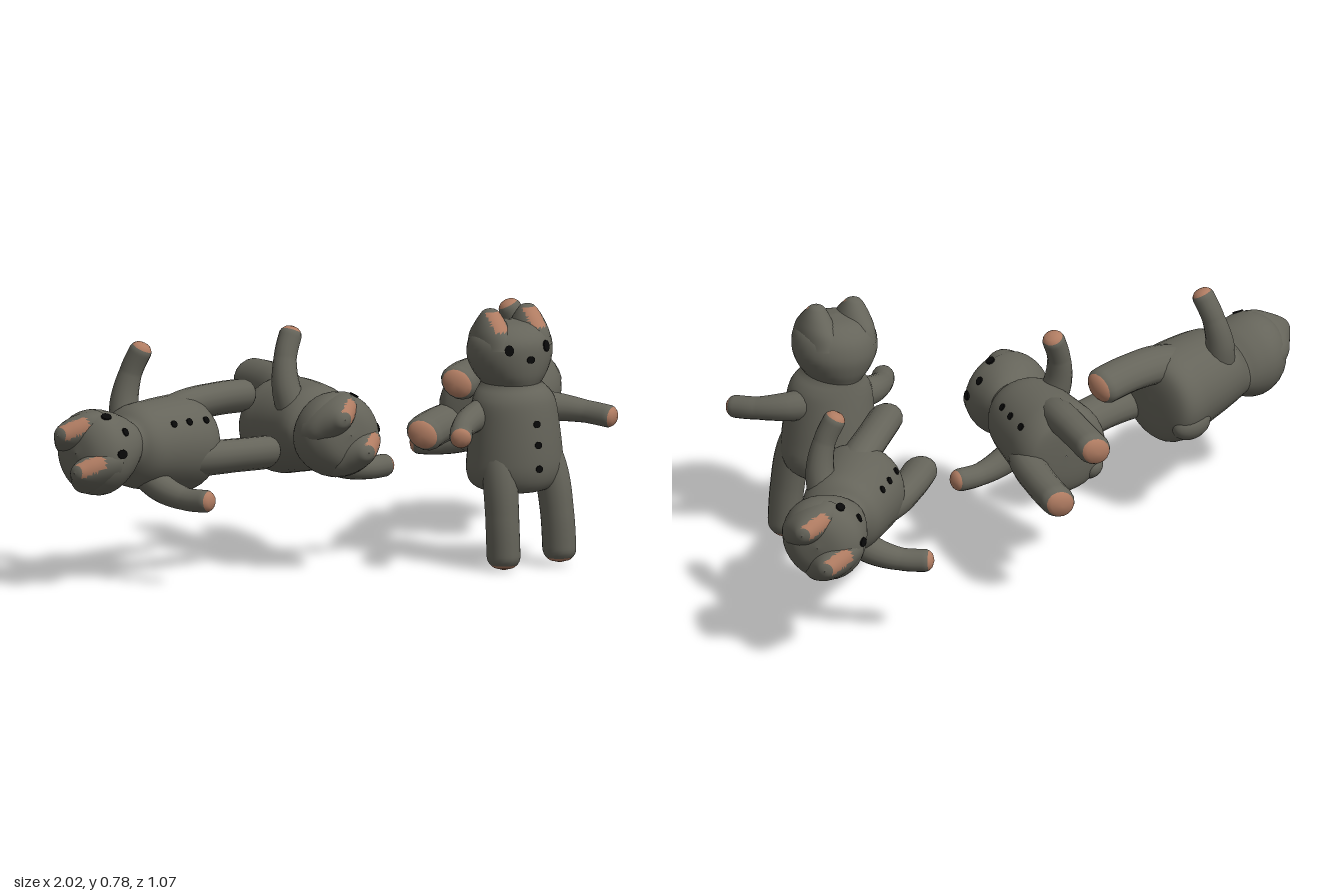
import * as THREE from 'three';
import { mergeVertices } from 'three/addons/utils/BufferGeometryUtils.js';

const V = (x, y, z) => new THREE.Vector3(x, y, z);
const material = (name, color) => {
  const m = new THREE.MeshStandardMaterial({ color });
  m.name = name;
  return m;
};

// Smooth normals across seams
function smooth(geo) {
  geo.deleteAttribute('uv');
  geo.deleteAttribute('normal');
  const g = mergeVertices(geo, 1e-5);
  g.computeVertexNormals();
  return g;
}

// Upright loft through elliptical rows [y, half width, front z, back z]
function loft(rows, sides = 32, steps = 4) {
  const heights = new THREE.CatmullRomCurve3(rows.map(r => V(0, r[0], 0)), false, 'catmullrom');
  const sizes = new THREE.CatmullRomCurve3(rows.map(r => V(r[1], (r[2] + r[3]) / 2, (r[2] - r[3]) / 2)), false, 'catmullrom');
  const n = (rows.length - 1) * steps, pos = [], idx = [];
  for (let i = 0; i <= n; i++) {
    const y = heights.getPoint(i / n).y, s = sizes.getPoint(i / n);
    for (let j = 0; j < sides; j++) {
      const a = j / sides * Math.PI * 2;
      pos.push(Math.max(s.x, 0.0005) * Math.cos(a), y, s.y + Math.max(s.z, 0.0005) * Math.sin(a));
      if (i < n) {
        const p = i * sides + j, q = i * sides + (j + 1) % sides;
        idx.push(p, p + sides, q, q, p + sides, q + sides);
      }
    }
  }
  const g = new THREE.BufferGeometry();
  g.setAttribute('position', new THREE.Float32BufferAttribute(pos, 3));
  g.setIndex(idx);
  g.computeVertexNormals();
  return g;
}

// Tapered tube along a path with a rounded far end
function limb(points, r0, r1, zScale = 1) {
  const curve = new THREE.CatmullRomCurve3(points), seg = 48, sides = 16;
  const geo = new THREE.TubeGeometry(curve, seg, 1, sides);
  const p = geo.attributes.position, v = V(0, 0, 0);
  const capStart = 1 - r1 * 0.9 / curve.getLength();
  for (let k = 0; k < p.count; k++) {
    const t = Math.floor(k / (sides + 1)) / seg;
    const c = curve.getPointAt(t), e = Math.max(0, (t - capStart) / (1 - capStart));
    const r = THREE.MathUtils.lerp(r0, r1, Math.min(1, t * 1.6)) * Math.sqrt(Math.max(0, 1 - e * e));
    v.fromBufferAttribute(p, k).sub(c).multiplyScalar(r).add(c);
    p.setXYZ(k, v.x, v.y, v.z * zScale);
  }
  return smooth(geo);
}

// Gives the second material to triangles whose centre passes the test
function paint(geo, test) {
  const ix = geo.index.array, p = geo.attributes.position, base = [], accent = [];
  for (let i = 0; i < ix.length; i += 3) {
    const c = V(0, 0, 0), t = [ix[i], ix[i + 1], ix[i + 2]];
    t.forEach(k => c.add(V(p.getX(k), p.getY(k), p.getZ(k))));
    (test(c.divideScalar(3)) ? accent : base).push(...t);
  }
  geo.setIndex([...base, ...accent]);
  geo.addGroup(0, base.length, 0);
  geo.addGroup(base.length, accent.length, 1);
  return geo;
}

// One toy, standing on y = 0 and facing +z
function makeToy(fur, copper, black) {
  const toy = new THREE.Group();
  const add = (name, geo, mat) => {
    const m = new THREE.Mesh(geo, mat);
    m.name = name;
    toy.add(m);
    return m;
  };

  const torso = add('torso', loft([
    [0.216, 0.001, 0.01, 0.008], [0.22, 0.08, 0.1, -0.09], [0.238, 0.125, 0.13, -0.13],
    [0.28, 0.143, 0.146, -0.142], [0.34, 0.14, 0.148, -0.134], [0.42, 0.132, 0.143, -0.124],
    [0.48, 0.124, 0.135, -0.115], [0.51, 0.11, 0.124, -0.11], [0.532, 0.09, 0.108, -0.106],
    [0.55, 0.08, 0.102, -0.103], [0.57, 0.078, 0.1, -0.1],
  ]), fur);

  const head = add('head', loft([
    [0.52, 0.074, 0.094, -0.097], [0.54, 0.083, 0.104, -0.106], [0.57, 0.106, 0.114, -0.12],
    [0.615, 0.126, 0.119, -0.13], [0.66, 0.126, 0.117, -0.122], [0.692, 0.109, 0.097, -0.1],
    [0.715, 0.07, 0.06, -0.065], [0.724, 0.001, 0.001, -0.001],
  ]), fur);

  // Tail, a bump low on the back
  const tail = add('tail', new THREE.SphereGeometry(0.045, 20, 14).scale(1.1, 1.5, 1), fur);
  tail.position.set(0, 0.285, -0.114);

  for (const s of [1, -1]) {
    const side = s > 0 ? 'left' : 'right';

    // Ear with a copper inner face
    const ear = loft([
      [0.65, 0.056, 0.1, -0.105], [0.69, 0.051, 0.085, -0.09], [0.72, 0.042, 0.06, -0.062],
      [0.744, 0.031, 0.036, -0.038], [0.759, 0.019, 0.019, -0.022], [0.765, 0.001, 0, -0.002],
    ], 24);
    paint(ear, c => c.y > 0.702 && c.y < 0.757 && c.z > 0.008 && Math.abs(c.x) < 0.024);
    ear.translate(s * 0.063, 0, 0);
    add(side + 'Ear', ear, [fur, copper]);

    // Arm with a copper paw tip
    const tip = V(s * 0.265, 0.418, 0.153);
    const arm = limb([V(s * 0.07, 0.455, -0.015), V(s * 0.145, 0.446, 0.015),
      V(s * 0.212, 0.432, 0.072), tip], 0.05, 0.034);
    add(side + 'Arm', paint(arm, c => c.distanceTo(tip) < 0.035), [fur, copper]);

    // Leg curving into the hips, with a copper sole
    const leg = limb([V(s * 0.05, 0.42, 0.005), V(s * 0.084, 0.28, 0.052),
      V(s * 0.093, 0.15, 0.068), V(s * 0.095, -0.003, 0.071)], 0.053, 0.048, 1.2);
    add(side + 'Leg', paint(leg, c => c.y < 0.016), [fur, copper]);
  }

  // Eyes, nose and buttons as thin discs resting on the surface
  const ray = new THREE.Raycaster();
  const spot = (name, target, x, y, r, stretch = 1) => {
    ray.set(V(x, y, 1), V(0, 0, -1));
    const hit = ray.intersectObject(target)[0];
    const g = new THREE.CylinderGeometry(r, r, 0.008, 10).rotateX(Math.PI / 2).scale(1, stretch, 1);
    const disc = add(name, g, black);
    disc.position.copy(hit.point);
    disc.quaternion.setFromUnitVectors(V(0, 0, 1), hit.face.normal);
  };
  spot('leftEye', head, 0.062, 0.652, 0.014, 1.2);
  spot('rightEye', head, -0.062, 0.652, 0.014, 1.2);
  spot('nose', head, 0, 0.62, 0.013, 0.85);
  [0.43, 0.368, 0.297].forEach((y, i) => spot('button' + (i + 1), torso, 0, y, 0.011));
  return toy;
}

export function createModel() {
  const fur = material('greyFur', 0x65645a);
  const copper = material('copper', 0xb07c62);
  const black = material('black', 0x080808);
  const model = new THREE.Group();
  const prototype = makeToy(fur, copper, black);

  // Each pose: foot position, direction to the head, facing direction
  const poses = [
    ['standingToy', V(0.337, 0.006, 0.322), V(-0.045, 1, 0), V(-0.22, 0, 0.975)],
    ['leftLyingToy', V(-0.24, 0.373, -0.243), V(-0.995, 0.047, 0.078), V(0, 0.56, 0.83)],
    ['middleLyingToy', V(0.03, 0.365, -0.535), V(-0.284, 0.07, 0.956), V(0.753, 0.588, 0.29)],
    ['rightLyingToy', V(0.343, 0.375, 0.074), V(0.85, 0.03, -0.53), V(-0.41, 0.525, -0.66)],
  ];
  for (const [name, foot, up, front] of poses) {
    up.normalize();
    const left = up.clone().cross(front).normalize();
    const toy = prototype.clone();
    toy.name = name;
    toy.applyMatrix4(new THREE.Matrix4().makeBasis(left, up, left.clone().cross(up)).setPosition(foot));
    model.add(toy);
  }
  return model;
}
